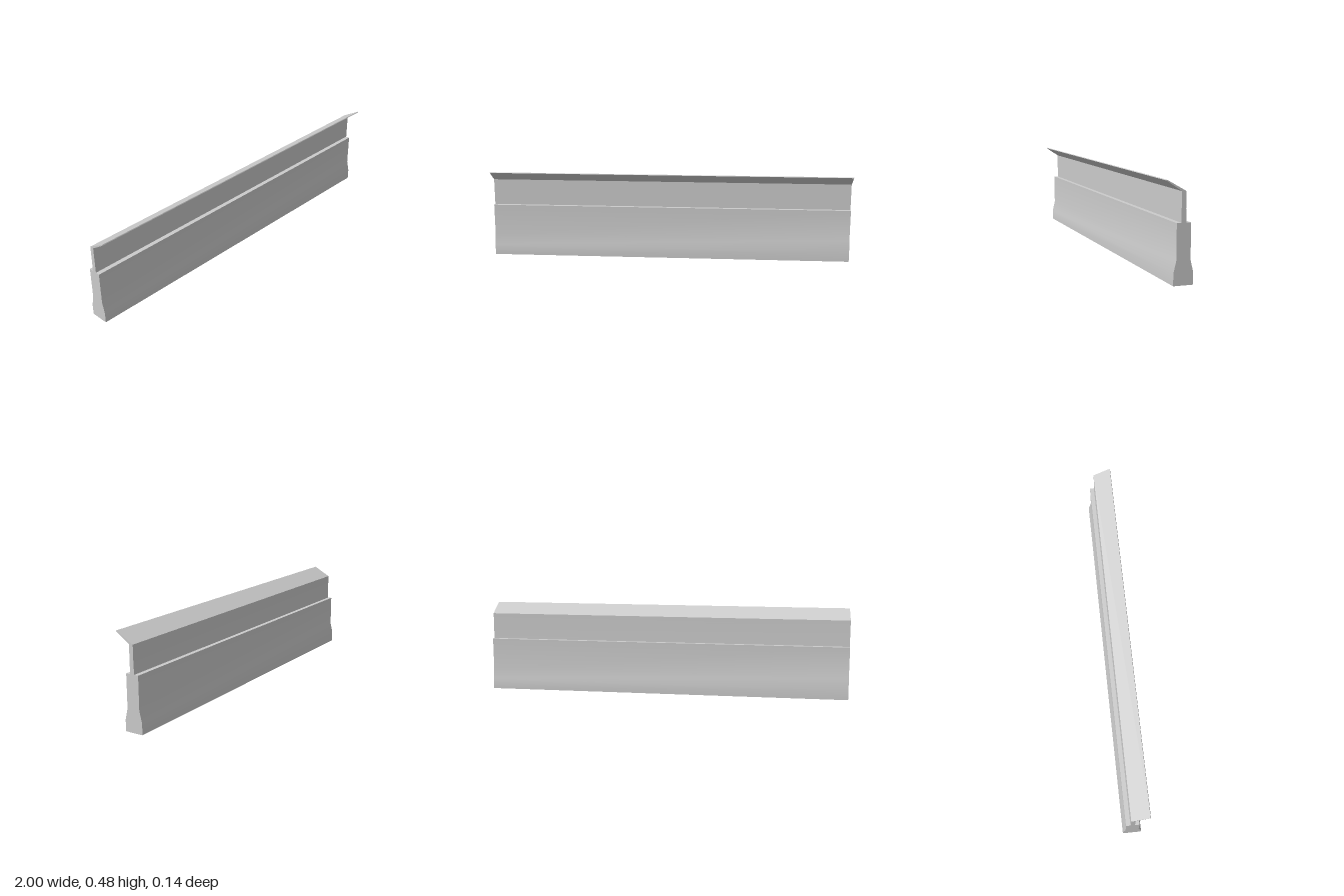
import * as THREE from 'three';
import { toCreasedNormals } from 'three/addons/utils/BufferGeometryUtils.js';

const LENGTH = 2;

// Cross-section as [z, y], counter-clockwise from the back foot
const PROFILE = [
  // flared foot and wall, front side
  [-0.068, 0], [0.03, 0], [0.03, 0.058], [0.016, 0.117], [0.016, 0.287],
  // thin upright and slanted lip
  [-0.007, 0.287], [-0.007, 0.43], [0.068, 0.48], [0.066, 0.484], [-0.029, 0.43],
  [-0.029, 0.35], [-0.031, 0.287],
  // wall and foot, back side
  [-0.054, 0.287], [-0.054, 0.117], [-0.068, 0.058],
];

export function createModel() {
  const group = new THREE.Group();
  group.name = 'barrier';

  // One solid section swept along x
  const shape = new THREE.Shape(PROFILE.map(([z, y]) => new THREE.Vector2(z, y)));
  const swept = new THREE.ExtrudeGeometry(shape, { depth: LENGTH, bevelEnabled: false });
  swept.rotateY(-Math.PI / 2).translate(LENGTH / 2, 0, 0);

  // Soft shading over the flare, sharp at the ledges and lip
  const wall = new THREE.Mesh(
    toCreasedNormals(swept, Math.PI / 7),
    new THREE.MeshStandardMaterial({ color: 0xcccccc })
  );
  wall.name = 'wallWithLip';
  group.add(wall);
  return group;
}
